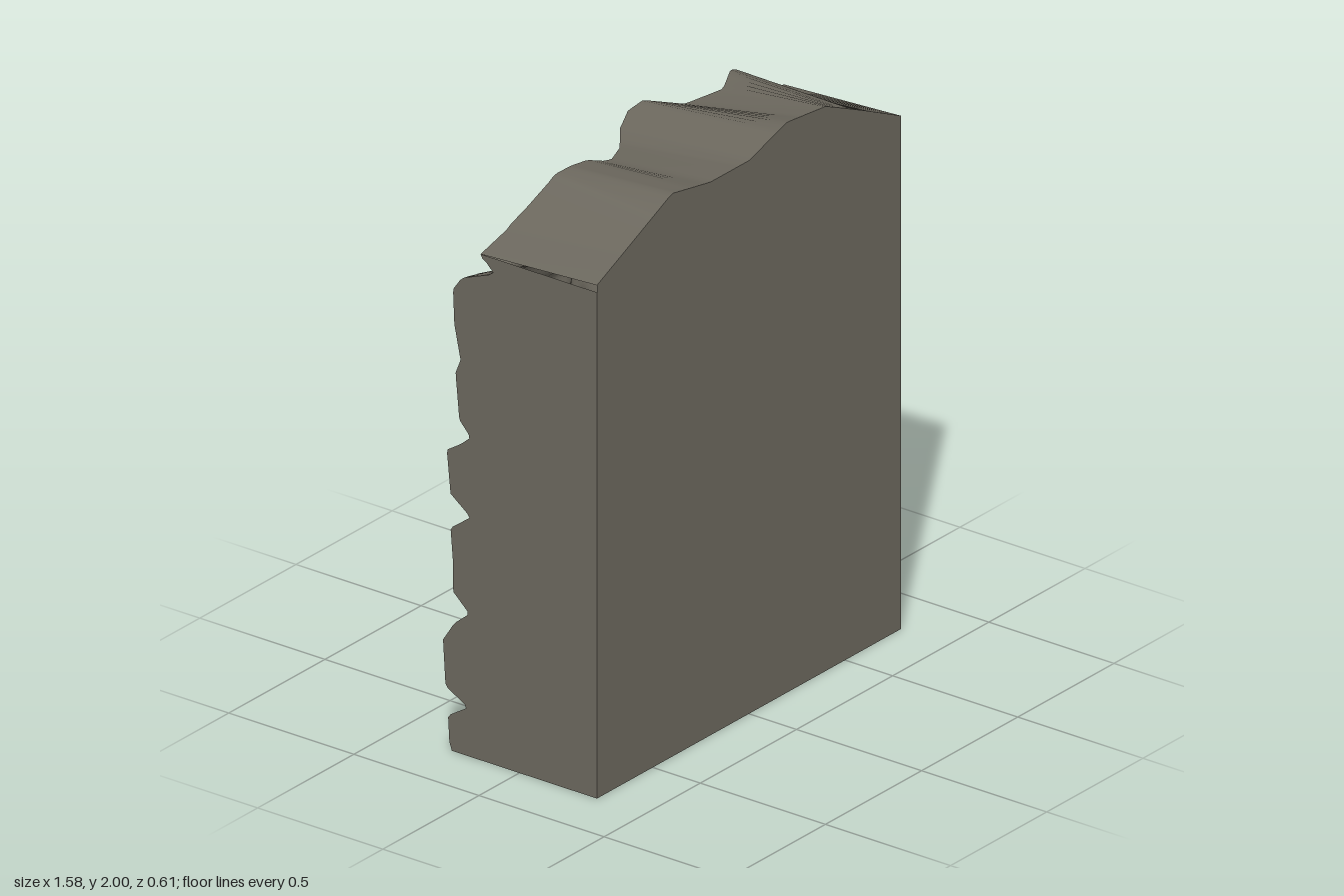
import * as THREE from 'three';

const HALF = 0.79, FRONT = 0.31, SIDE_TOP = 1.775;
const COLS = 80, ROWS = 140;

// Profiles across the width: [x, value]
const frontTop = [[-0.79, 1.8], [-0.6, 1.885], [-0.4, 1.975], [-0.2, 1.94], [0, 1.94], [0.2, 2], [0.4, 1.98], [0.6, 1.89], [0.79, 1.8]];
const backTop = [[-0.79, SIDE_TOP], [-0.67, 1.82], [-0.6, 1.87], [-0.49, 1.96], [-0.4, 1.955], [-0.31, 1.94], [-0.23, 1.91], [-0.06, 1.89], [0.02, 1.91], [0.14, 1.945], [0.26, 1.91], [0.38, 1.935], [0.46, 1.96], [0.52, 1.935], [0.57, 1.87], [0.66, 1.82], [0.79, SIDE_TOP]];
const brink = [[-0.79, 0.155], [-0.65, 0.14], [-0.5, 0.09], [-0.3, 0.1], [-0.2, 0.085], [-0.1, 0.13], [0, 0.205], [0.08, 0.235], [0.15, 0.22], [0.25, 0.15], [0.38, 0.085], [0.5, 0.135], [0.6, 0.125], [0.79, 0.155]];
const bulge = [[-0.79, 0.305], [-0.7, 0.275], [-0.6, 0.235], [-0.5, 0.185], [-0.4, 0.19], [-0.25, 0.25], [-0.1, 0.265], [0, 0.285], [0.1, 0.275], [0.17, 0.235], [0.27, 0.275], [0.4, 0.275], [0.5, 0.23], [0.6, 0.255], [0.7, 0.285], [0.79, 0.305]];
// Ledges up the height: [y, depth cut into the rock]
const ledges = [[0, 0.035], [0.03, 0.025], [0.12, 0.02], [0.17, 0.1], [0.22, 0.01], [0.38, 0], [0.45, 0.045], [0.5, 0.105], [0.56, 0.04], [0.66, 0.04], [0.78, 0.03], [0.84, 0.11], [0.9, 0.03], [1.05, 0.015], [1.085, 0.07], [1.12, 0.11], [1.17, 0.065], [1.33, 0.05], [1.38, 0.07], [1.5, 0.045], [1.62, 0.04], [1.67, 0.075], [1.72, 0.205], [SIDE_TOP, 0.15]];

function sample(table, t) {
  if (t <= table[0][0]) return table[0][1];
  for (let i = 1; i < table.length; i++) {
    const [a, va] = table[i - 1], [b, vb] = table[i];
    if (t <= b) return va + (vb - va) * (t - a) / (b - a);
  }
  return table[table.length - 1][1];
}

// Smooth seeded value noise in 0..1
const { smoothstep, lerp } = THREE.MathUtils;
function hash(i, j, seed) {
  const s = Math.sin(i * 127.1 + j * 311.7 + seed * 74.7) * 43758.5453;
  return s - Math.floor(s);
}
function noise(x, y, seed) {
  const i = Math.floor(x), j = Math.floor(y);
  const u = smoothstep(x - i, 0, 1), v = smoothstep(y - j, 0, 1);
  const low = lerp(hash(i, j, seed), hash(i + 1, j, seed), u);
  const high = lerp(hash(i, j + 1, seed), hash(i + 1, j + 1, seed), u);
  return lerp(low, high, v);
}

// One point of the weathered face; v runs 0 (foot) to 1 (brink)
function rockPoint(x, v) {
  const top = sample(backTop, x);
  const y = v * top;
  const inner = smoothstep(HALF - Math.abs(x), 0, 0.2);
  // The overhanging cap starts above a deep groove
  const lip = smoothstep(y, 1.75, Math.max(top, 1.76));
  const middle = smoothstep(y, 0.15, 0.5) * (1 - smoothstep(y, 1.5, 1.7));
  const warp = inner * middle * (noise(x * 4, y * 3, 1) - 0.5) * 0.2;
  const strength = 1 - inner * (0.05 + 0.5 * middle * noise(x * 5, y * 5, 2));
  const cut = sample(ledges, y + warp) * strength;
  // Upright gully, widest where it meets the undercut foot
  const gully = Math.exp(-(((x + 0.39) / 0.1) ** 2));
  const hollow = gully * (0.05 * noise(2, y * 5, 5) + 0.09 * (1 - smoothstep(y, 0, 0.25)));
  const undercut = 0.05 * (1 - smoothstep(y, 0, 0.14));
  const slant = y + 0.12 * x;
  const rough = 0.055 * (noise(x * 6 + 9, slant * 8, 3) - 0.25) + 0.035 * (noise(x * 12, slant * 16, 4) - 0.25);
  const depth = sample(bulge, x) - cut - inner * (1 - lip) * (rough + hollow + undercut);
  return new THREE.Vector3(x, y, -lerp(depth, sample(brink, x), lip));
}

// Surface through rows of points, facing (along row) x (row to row)
function surface(name, rows, material) {
  const n = rows[0].length, index = [];
  for (let i = 0; i < rows.length - 1; i++) {
    for (let j = 0; j < n - 1; j++) {
      const a = i * n + j, c = a + n;
      index.push(a, a + 1, c, a + 1, c + 1, c);
    }
  }
  const geometry = new THREE.BufferGeometry().setFromPoints(rows.flat());
  geometry.setIndex(index);
  geometry.computeVertexNormals();
  const mesh = new THREE.Mesh(geometry, material);
  mesh.name = name;
  return mesh;
}

export function createModel() {
  const group = new THREE.Group();
  group.name = 'rockCliff';
  // The shell is open underneath, so both sides show
  const stone = new THREE.MeshStandardMaterial({ color: 0x6b675d, side: THREE.DoubleSide });
  stone.name = 'grey stone';

  const xs = Array.from({ length: COLS + 1 }, (_, i) => -HALF + 2 * HALF * i / COLS);
  // Rows from the foot up to the brink
  const rock = Array.from({ length: ROWS + 1 }, (_, r) => xs.map(x => rockPoint(x, r / ROWS)));
  const frontFoot = xs.map(x => new THREE.Vector3(x, 0, FRONT));
  const frontBrow = xs.map(x => new THREE.Vector3(x, sample(frontTop, x), FRONT));

  group.add(
    surface('cliffFace', [...rock].reverse(), stone),
    surface('frontWall', [frontFoot, frontBrow], stone),
    surface('topSurface', [frontBrow, rock[ROWS]], stone)
  );

  // Flat side walls that follow the ledge profile
  for (const side of [-1, 1]) {
    const edge = rock.map(row => row[side > 0 ? COLS : 0]);
    const straight = edge.map(p => new THREE.Vector3(p.x, p.y, FRONT));
    const rows = side > 0 ? [edge, straight] : [straight, edge];
    group.add(surface(side > 0 ? 'leftWall' : 'rightWall', rows, stone));
  }
  return group;
}
